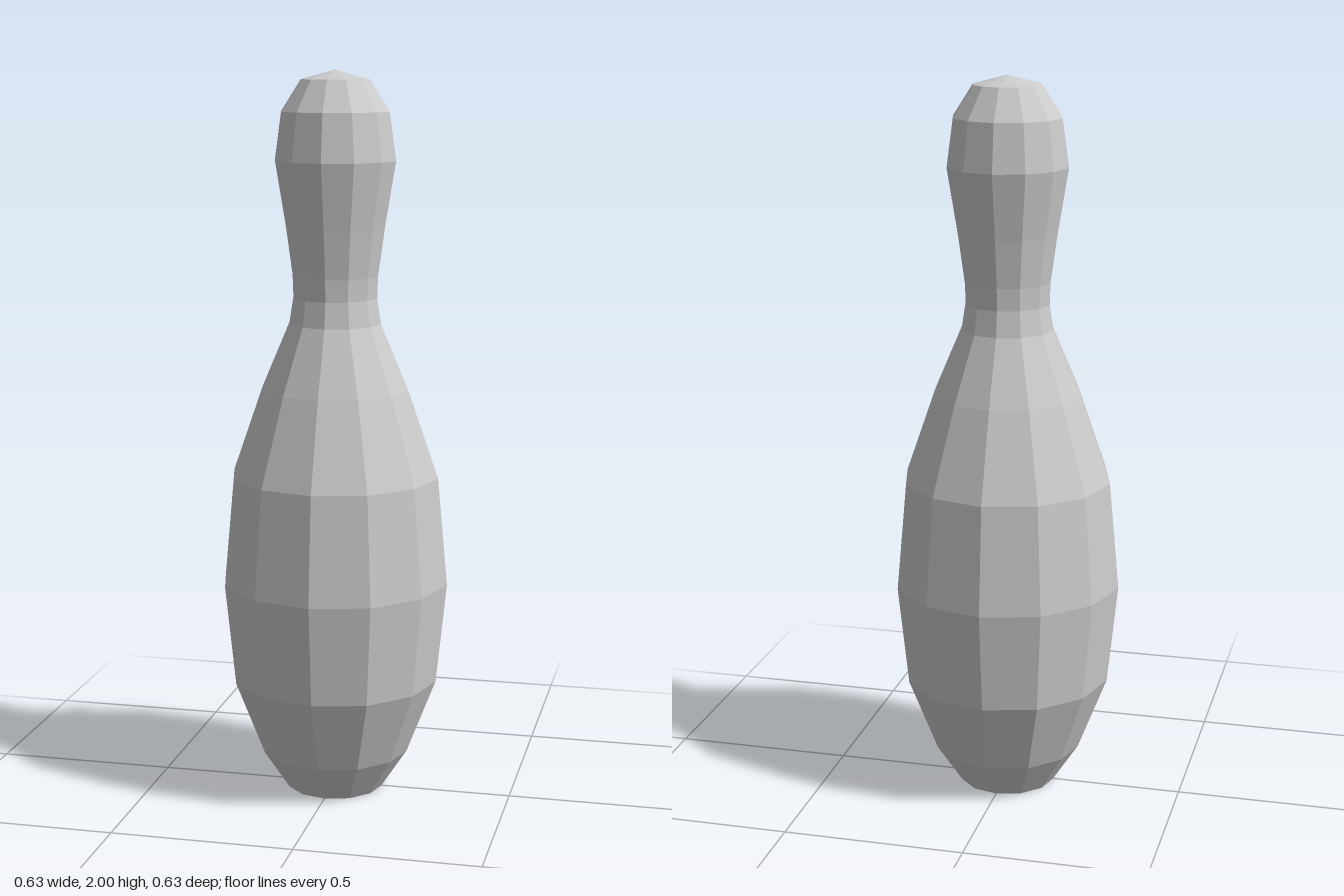
import * as THREE from 'three';

export function createModel() {
  const group = new THREE.Group();
  group.name = 'bowlingPin';

  const paint = new THREE.MeshStandardMaterial({ color: 0xcccccc, flatShading: true });
  paint.name = 'light grey';

  // Radius and height of each ring, from the flat base to the crown
  const profile = [
    [0, 0], [0.135, 0], [0.207, 0.11], [0.288, 0.32], [0.317, 0.6],
    [0.289, 0.9], [0.205, 1.14], [0.128, 1.32], [0.117, 1.39],
    [0.119, 1.45], [0.137, 1.58], [0.167, 1.76], [0.149, 1.89],
    [0.094, 1.975], [0, 2],
  ].map(([r, y]) => new THREE.Vector2(r, y));

  // Twelve-sided turned body, faceted
  const geometry = new THREE.LatheGeometry(profile, 12).toNonIndexed();
  geometry.computeVertexNormals();

  const pin = new THREE.Mesh(geometry, paint);
  pin.name = 'pinBody';
  group.add(pin);
  return group;
}
